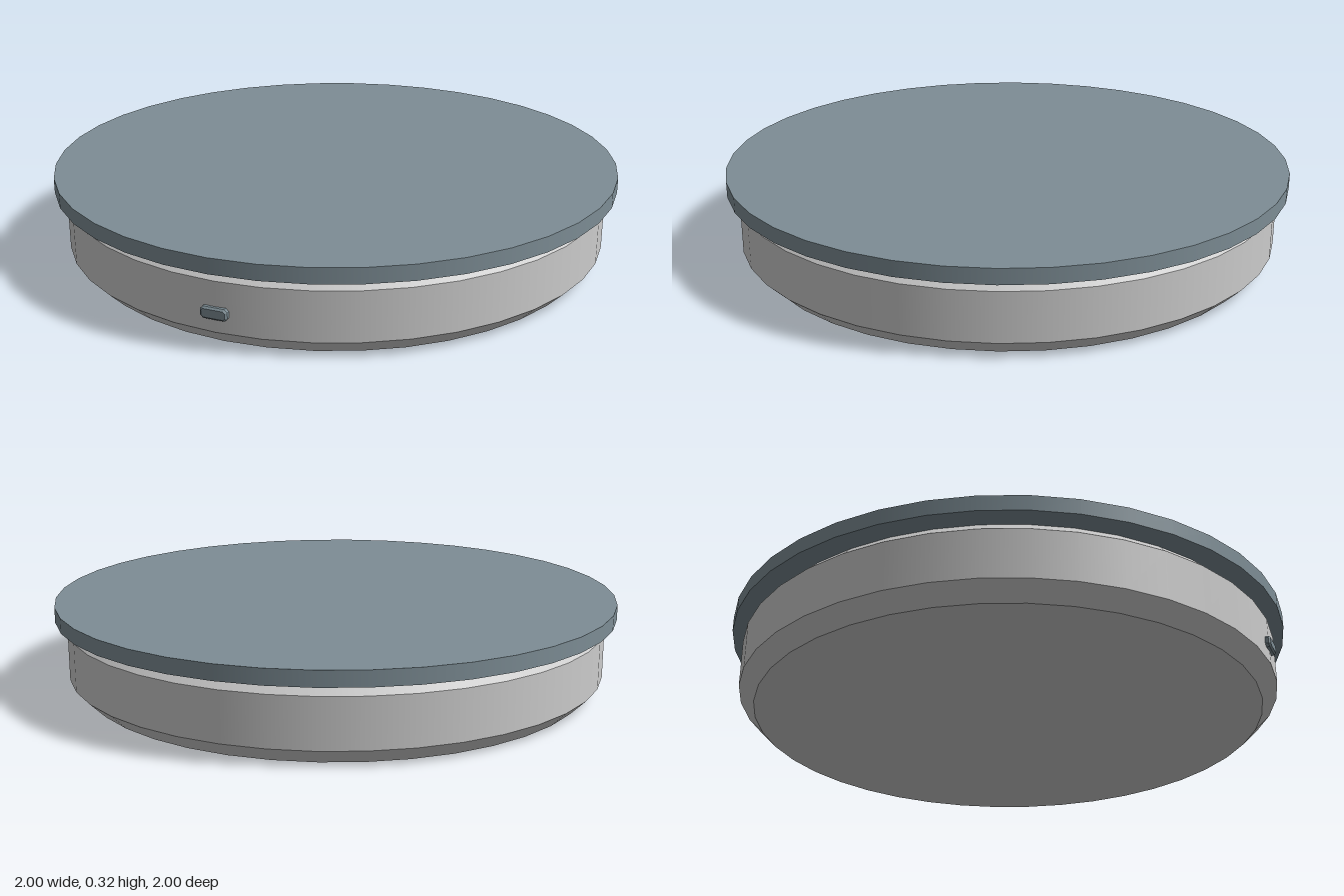
import * as THREE from 'three';

const SIDES = 40;

export function createModel() {
  const model = new THREE.Group();
  const grey = new THREE.MeshStandardMaterial({ color: 0xcccccc });
  const slate = new THREE.MeshStandardMaterial({ color: 0x7d8d95 });

  const add = (parent, name, geometry, material, y = 0, z = 0) => {
    const mesh = new THREE.Mesh(geometry, material);
    mesh.name = name;
    mesh.position.set(0, y, z);
    parent.add(mesh);
    return mesh;
  };

  // Round body: smooth bands that meet at sharp edges, closed by end caps
  const body = new THREE.Group();
  body.name = 'body';
  model.add(body);
  const rings = [[0.905, 0], [0.96, 0.055], [0.96, 0.225], [0.92, 0.264]];
  const bandNames = ['lowerChamfer', 'sideWall', 'upperChamfer'];
  bandNames.forEach((name, i) => {
    const [r0, y0] = rings[i];
    const [r1, y1] = rings[i + 1];
    add(body, name, new THREE.CylinderGeometry(r1, r0, y1 - y0, SIDES, 1, true), grey, (y0 + y1) / 2);
  });
  const base = add(body, 'basePlate', new THREE.CircleGeometry(0.905, SIDES), grey);
  base.rotation.x = Math.PI / 2;

  // Overhanging top disc
  add(model, 'topDisc', new THREE.CylinderGeometry(1, 1, 0.053, SIDES), slate, 0.2905);

  // Small bevelled port on the front of the side wall
  const w = 0.04, h = 0.014, c = 0.006;
  const outline = new THREE.Shape([
    [-w + c, -h], [w - c, -h], [w, -h + c], [w, h - c],
    [w - c, h], [-w + c, h], [-w, h - c], [-w, -h + c],
  ].map(([x, y]) => new THREE.Vector2(x, y)));
  const portGeometry = new THREE.ExtrudeGeometry(outline, {
    depth: 0.03, bevelEnabled: true, bevelThickness: 0.006, bevelSize: 0.006, bevelSegments: 1,
  });
  add(model, 'frontPort', portGeometry, slate, 0.121, 0.938);

  return model;
}
